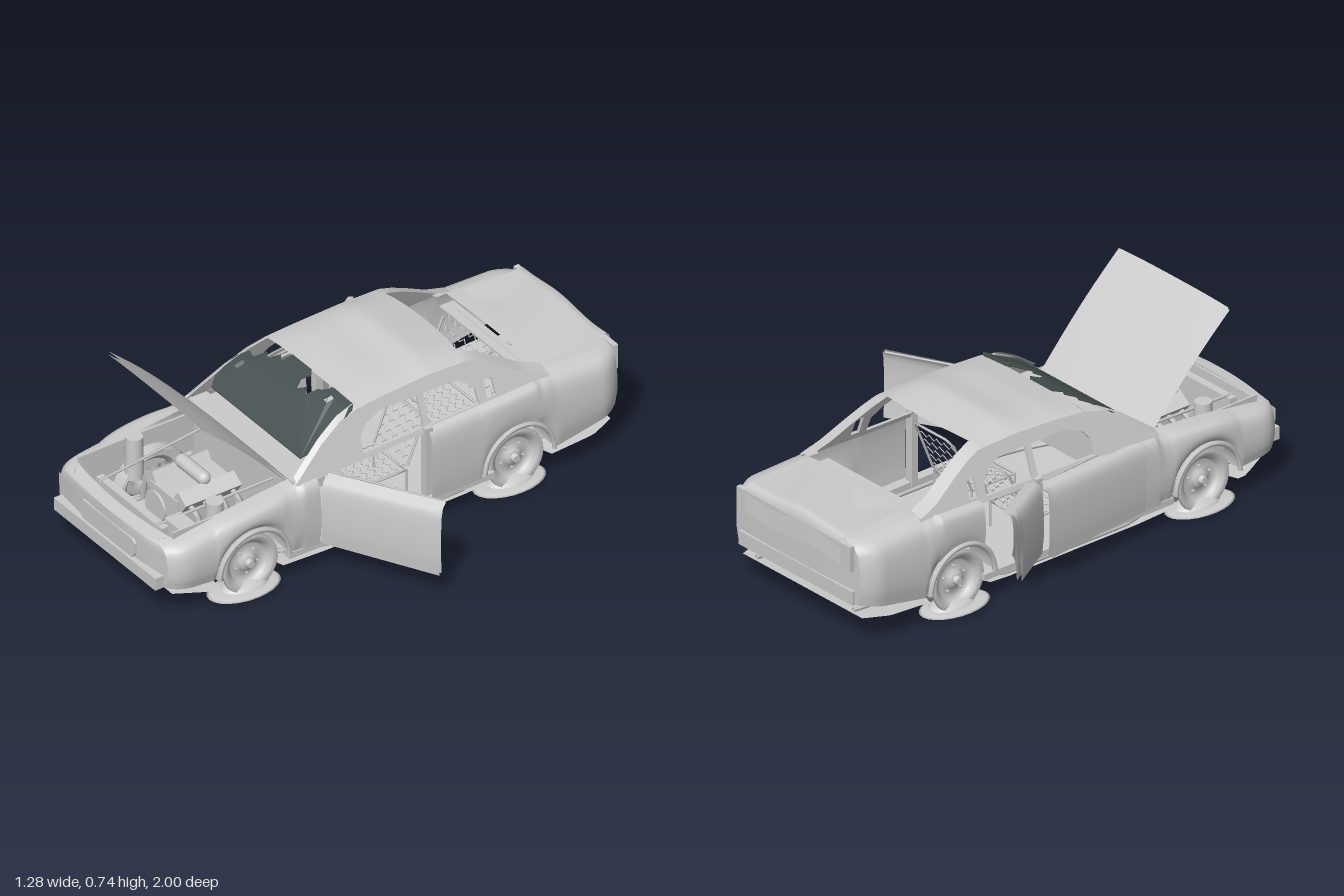
import * as THREE from 'three';

const grey = new THREE.MeshStandardMaterial({ color: 0xcccccc, side: THREE.DoubleSide });
grey.name = 'bare grey metal';
const glass = new THREE.MeshStandardMaterial({ color: 0x465050, side: THREE.DoubleSide });
glass.name = 'dark glass';

// Piecewise linear lookup in [position, value] pairs, positions descending
function look(table, z) {
  if (z >= table[0][0]) return table[0][1];
  for (let i = 1; i < table.length; i++) {
    const [a, va] = table[i - 1], [b, vb] = table[i];
    if (z >= b) return va + (vb - va) * (a - z) / (a - b);
  }
  return table[table.length - 1][1];
}

const AXLES = [0.615, -0.525], HUB = 0.123, ARCH = 0.155;
const BELT = [[0.98, 0.305], [0.7, 0.345], [0.4, 0.375], [0, 0.388], [-0.4, 0.402], [-0.7, 0.415], [-0.97, 0.405]];
const SILL = [[0.96, 0.14], [0.78, 0.125], [0.45, 0.11], [-0.65, 0.11], [-0.97, 0.17]];
const ROOF = [[0.115, 0.56], [0, 0.577], [-0.1, 0.583], [-0.21, 0.6], [-0.38, 0.577]];
const EDGE = [[0.42, 0.372], [0.28, 0.475], [0.19, 0.525], [0.115, 0.545], [0, 0.555], [-0.2, 0.565], [-0.37, 0.56], [-0.43, 0.537], [-0.5, 0.5], [-0.6, 0.442], [-0.68, 0.414]];
const FLOOR = [[0.92, 0.09], [0.3, 0.066], [-0.3, 0.07], [-0.95, 0.112]];
const belt = z => look(BELT, z), edge = z => look(EDGE, z);
const halfWidth = z => 0.372 - 0.042 * Math.max(0, (z - 0.85) / 0.11) ** 3 - 0.04 * Math.max(0, (-0.88 - z) / 0.09) ** 2;
const pillarX = y => 0.335 - (y - 0.385) * 0.36;
const RISE = [[1, 1], [0.8, 0.95], [0.6, 0.82], [0.4, 0.55], [0.2, 0.25], [0, 0]];
const INSET = [[1, 1], [0.8, 0.4], [0.6, 0.12], [0.4, 0], [0.2, 0], [0, 0.15]];

function bottom(z) {
  let y = look(SILL, z);
  for (const c of AXLES) {
    const d = Math.abs(z - c);
    if (d < ARCH) y = Math.max(y, HUB + Math.sqrt(ARCH * ARCH - d * d));
  }
  return y;
}
const insetAt = (z, t) => look(INSET, t) * (z < 0.4 && z > -0.62 ? 0.04 : 0.085);

function add(parent, name, geometry, x = 0, y = 0, z = 0, material = grey) {
  const m = new THREE.Mesh(geometry, material);
  m.name = name;
  m.position.set(x, y, z);
  parent.add(m);
  return m;
}
const box = (w, h, d) => new THREE.BoxGeometry(w, h, d);

// Sheet whose points follow fn(u, v), u and v from 0 to 1
function sheet(nu, nv, fn) {
  const g = new THREE.PlaneGeometry(1, 1, nu, nv), p = g.attributes.position;
  for (let i = 0; i < p.count; i++) p.setXYZ(i, ...fn(p.getX(i) + 0.5, p.getY(i) + 0.5));
  g.computeVertexNormals();
  return g;
}
function rod(parent, name, pts, r = 0.006, closed = false) {
  const path = new THREE.CurvePath();
  const v = pts.map(p => new THREE.Vector3(...p));
  if (closed) v.push(v[0]);
  for (let i = 1; i < v.length; i++) path.add(new THREE.LineCurve3(v[i - 1], v[i]));
  return add(parent, name, new THREE.TubeGeometry(path, (v.length - 1) * 4, r, 5));
}
const sidePanel = (s, z0, z1) => sheet(Math.ceil(Math.abs(z0 - z1) * 75), 10, (u, v) => {
  const z = z0 + (z1 - z0) * u, b = bottom(z);
  return [s * (halfWidth(z) - insetAt(z, v)), b + (belt(z) - b) * look(RISE, v), z];
});

// Double skinned door swung about its front edge
function door(car, name, s, z0, z1, angle) {
  const pivot = new THREE.Group();
  pivot.name = name;
  pivot.position.set(s * 0.372, 0, z0);
  pivot.rotation.y = angle;
  car.add(pivot);
  add(pivot, 'doorSkin', sidePanel(s, z0, z1), -s * 0.372, 0, -z0);
  add(pivot, 'doorLining', sidePanel(s, z0, z1), -s * 0.39, 0, -z0);
  rod(pivot, 'windowTrim', [[-s * 0.06, 0.385, -0.02], [-s * 0.06, 0.392, z1 - z0 + 0.02]], 0.004);
}

// Bare seat with zigzag springs
function seat(car, name, x, z, w, d, h) {
  const g = new THREE.Group();
  g.name = name;
  g.position.set(x, 0.18, z);
  car.add(g);
  const place = (u, v, back) => back ? [u * w, v * h, -d - v * 0.09] : [u * w, 0, -v * d];
  for (const back of [false, true]) {
    rod(g, 'seatFrame', [[-0.5, 0], [0.5, 0], [0.5, 1], [-0.5, 1]].map(([u, v]) => place(u, v, back)), 0.005, true);
    for (let k = 1; k < 6; k++) {
      const pts = [], n = Math.round(w / 0.02);
      for (let i = 0; i <= n; i++) pts.push(place(i / n - 0.5, k / 6 + (i % 2 ? 0.045 : -0.045), back));
      rod(g, 'seatSpring', pts, 0.002);
    }
  }
  for (const u of [-0.5, 0.5]) for (const v of [0, -d]) rod(g, 'seatLeg', [[u * w, 0, v], [u * w, -0.1, v]], 0.005);
}

function wheel(car, s, z) {
  const g = new THREE.Group();
  g.name = 'wheel';
  g.position.set(s * 0.3, HUB, z);
  g.rotation.z = -s * Math.PI / 2;
  car.add(g);
  const profile = [[0.008, 0.035], [0.03, 0.035], [0.034, 0.02], [0.07, 0.015], [0.08, 0.03], [0.095, 0.045], [0.115, 0.05], [0.118, 0.04], [0.1, 0.025], [0.1, -0.03], [0.118, -0.045]];
  add(g, 'rim', new THREE.LatheGeometry(profile.map(p => new THREE.Vector2(...p)), 32));
  add(g, 'hubCap', new THREE.CylinderGeometry(0.014, 0.018, 0.02, 16), 0, 0.042, 0);
  for (let i = 0; i < 5; i++) {
    const a = i * Math.PI * 0.4;
    add(g, 'wheelNut', new THREE.CylinderGeometry(0.005, 0.005, 0.012, 6), Math.cos(a) * 0.05, 0.022, Math.sin(a) * 0.05);
  }
  // Collapsed tyre on the ground
  const pad = add(car, 'flatTyre', new THREE.SphereGeometry(1, 24, 8), s * 0.315, 0.014, z + 0.008);
  pad.scale.set(0.088, 0.011, 0.148);
  const wall = add(car, 'tyreWall', new THREE.SphereGeometry(1, 24, 8, 0, Math.PI * 2, 0, Math.PI / 2), s * 0.31, 0.014, z);
  wall.scale.set(0.062, 0.032, 0.1);
}

export function createModel() {
  const root = new THREE.Group(), car = new THREE.Group();
  root.name = 'wreckedCar';
  car.name = 'car';
  car.position.x = -0.135;
  root.add(car);

  // Fenders, quarters, arches, inner wells and pillars, both sides
  for (const s of [-1, 1]) {
    add(car, 'frontFender', sidePanel(s, 0.96, 0.33));
    add(car, 'rearQuarter', sidePanel(s, s > 0 ? -0.15 : -0.42, -0.97));
    add(car, 'sill', box(0.04, 0.025, 0.88), s * 0.345, 0.105, 0.02);
    add(car, 'centrePillar', box(0.03, 0.3, 0.03), s * 0.335, 0.25, -0.15);
    add(car, 'bayWall', box(0.008, 0.16, 0.5), s * 0.288, 0.26, 0.66);
    for (const z of AXLES) {
      wheel(car, s, z);
      const well = add(car, 'wheelWell', new THREE.CylinderGeometry(ARCH, ARCH, 0.14, 20, 1, true, 0, Math.PI), s * 0.3, HUB, z);
      well.rotation.z = Math.PI / 2;
      const lip = add(car, 'archLip', new THREE.TorusGeometry(ARCH - 0.006, 0.01, 6, 24, Math.PI), s * 0.37, HUB, z);
      lip.rotation.y = Math.PI / 2;
    }
    // Window frame with three openings
    const frame = new THREE.Shape(EDGE.map(([z, y]) => new THREE.Vector2(z, y)).concat(
      [new THREE.Vector2(-0.68, 0.4), new THREE.Vector2(-0.4, 0.385), new THREE.Vector2(0.38, 0.365)]));
    const windows = [
      [[0.12, 0.392], [-0.14, 0.397], [-0.14, 0.512], [0.02, 0.512], [0.09, 0.485], [0.12, 0.45]],
      [[-0.165, 0.398], [-0.38, 0.403], [-0.375, 0.46], [-0.33, 0.498], [-0.29, 0.512], [-0.165, 0.512]],
      [[-0.415, 0.41], [-0.455, 0.412], [-0.45, 0.475], [-0.415, 0.48]]];
    for (const w of windows) frame.holes.push(new THREE.Path(w.map(p => new THREE.Vector2(...p))));
    const g = new THREE.ExtrudeGeometry(frame, { depth: 0.012, bevelEnabled: false }), p = g.attributes.position;
    for (let i = 0; i < p.count; i++) {
      const z = p.getX(i), y = p.getY(i);
      p.setXYZ(i, s * (pillarX(y) - p.getZ(i)), y, z);
    }
    g.computeVertexNormals();
    add(car, 'windowFrame', g);
    for (const [name, z0, z1, w] of [['windscreenPillar', 0.41, 0.115, 0.022], ['rearPillar', -0.34, -0.68, 0.055]]) {
      add(car, name, sheet(2, 12, (u, v) => {
        const z = z0 + (z1 - z0) * v, y = edge(z);
        return [s * (pillarX(y) - u * w), y + 0.014 * u, z];
      }));
    }
    // Headlamp lenses wrapped onto the nose
    for (const [name, x0, x1] of [['innerLens', 0.19, 0.245], ['outerLens', 0.253, 0.325]]) {
      add(car, name, sheet(4, 1, (u, v) => {
        const x = x0 + (x1 - x0) * u;
        return [s * x, 0.23 + 0.05 * v, 0.966 + 0.025 * (1 - (x / 0.33) ** 2)];
      }));
    }
    add(car, 'strutTower', new THREE.CylinderGeometry(0.032, 0.036, 0.17, 18), s * 0.245, 0.285, 0.7);
    add(car, 'bumperBracket', box(0.02, 0.05, 0.05), s * 0.22, 0.125, 0.93);
    // Bent rail beneath the side
    rod(car, 'floorRail', [[0.25, 0.9], [0.26, 0.5], [0.34, 0.3], [0.34, -0.3], [0.26, -0.45], [0.26, -0.94]].map(([x, z]) => [s * x, look(FLOOR, z) + 0.006, z]), 0.009);
  }

  // Doors
  door(car, 'wideOpenDoor', 1, 0.33, -0.13, -1.07);
  door(car, 'ajarFrontDoor', -1, 0.33, -0.15, 0.1);
  door(car, 'ajarRearDoor', -1, -0.15, -0.42, 0.52);

  // Nose and tail
  for (const [name, z, bulge] of [['nose', 0.96, 0.025], ['tail', -0.97, -0.008]]) {
    add(car, name, sheet(16, 10, (u, v) => {
      const k = u * 2 - 1, b = bottom(z);
      return [k * (halfWidth(z) - 0.085 * look(INSET, v)), b + (belt(z) - b) * look(RISE, v), z + bulge * (1 - k * k)];
    }));
  }
  add(car, 'noseTop', sheet(12, 2, (u, v) => {
    const k = u * 2 - 1;
    return [k * (0.245 + 0.04 * v), belt(0.96 - v * 0.05), 0.96 + 0.025 * (1 - k * k) - 0.05 * v];
  }));
  // Grille panel with rounded corners
  const grille = new THREE.Shape([[-0.15, -0.04], [0.15, -0.04], [0.167, -0.02], [0.167, 0.025], [0.15, 0.038], [-0.15, 0.038], [-0.167, 0.025], [-0.167, -0.02]].map(p => new THREE.Vector2(...p)));
  add(car, 'grille', new THREE.ExtrudeGeometry(grille, { depth: 0.012, bevelEnabled: false }), 0, 0.23, 0.977);
  add(car, 'frontBumper', box(0.62, 0.05, 0.035), 0, 0.165, 0.982);
  add(car, 'rearBumper', box(0.61, 0.055, 0.03), 0, 0.195, -0.968);
  add(car, 'rearLightPanel', box(0.61, 0.1, 0.02), 0, 0.352, -0.983);

  // Raised double skinned hood, cowl and firewall
  for (const [name, off] of [['hoodSkin', 0], ['hoodLining', 0.01]]) {
    add(car, name, sheet(14, 12, (u, v) => {
      const b = 0.02 * Math.sin(v * Math.PI) + 0.005 - off;
      return [(u - 0.5) * 0.59, 0.37 + 0.365 * v + b - 0.006 * Math.abs(2 * u - 1) ** 3, 0.41 + 0.365 * v + 0.3 * b + off * 0.7];
    }));
  }
  add(car, 'cowl', box(0.64, 0.012, 0.08), 0, 0.37, 0.375);
  add(car, 'firewall', box(0.6, 0.27, 0.01), 0, 0.235, 0.41);
  add(car, 'dashboard', box(0.62, 0.06, 0.06), 0, 0.335, 0.3);

  // Dented roof
  add(car, 'roof', sheet(20, 20, (u, v) => {
    const k = u * 2 - 1, z = 0.115 - v * (0.495 - 0.025 * k * k), e = edge(z);
    return [k * pillarX(e), e + (look(ROOF, z) - e) * (1 - k ** 4), z];
  }));

  // Shattered windscreen: torn upper corner, notch and two holes
  const pane = new THREE.Shape([[-0.92, 0.13], [0.92, 0.13], [1, 0.25], [1, 0.93], [0.93, 1], [0.5, 1], [0.44, 0.9], [0.36, 0.84], [0.3, 0.7], [0.22, 0.78], [0.12, 0.68], [0.04, 0.82], [0.1, 0.93], [0.02, 1], [-0.4, 1], [-0.42, 0.84], [-0.52, 0.9], [-0.6, 0.76], [-0.7, 0.82], [-0.78, 0.66], [-0.9, 0.7], [-1, 0.55], [-1, 0.25]].map(p => new THREE.Vector2(...p)));
  for (const [x, y] of [[0.6, 0.84], [-0.85, 0.5]]) {
    pane.holes.push(new THREE.Path([[-0.05, -0.05], [0.04, -0.06], [0.06, 0.05], [-0.02, 0.07]].map(([a, b]) => new THREE.Vector2(x + a, y + b))));
  }
  const paneGeo = new THREE.ExtrudeGeometry(pane, { depth: 0.004, bevelEnabled: false }), pp = paneGeo.attributes.position;
  for (let i = 0; i < pp.count; i++) {
    const k = pp.getX(i), t = pp.getY(i), z = 0.385 - 0.272 * t, y = 0.39 + 0.163 * t + 0.1 * t * (1 - t);
    pp.setXYZ(i, k * (0.298 - 0.02 * t), y + pp.getZ(i) + 0.006 * (1 - k * k), z);
  }
  paneGeo.computeVertexNormals();
  add(car, 'windscreen', paneGeo, 0, 0, 0, glass);

  // Rear deck and buckled lid
  add(car, 'rearDeck', sheet(10, 10, (u, v) => {
    const k = u * 2 - 1, z = -0.67 - v * 0.3;
    return [k * (halfWidth(z) - 0.083), belt(z) + 0.01 * (1 - k * k), z];
  }));
  add(car, 'bootLid', sheet(12, 14, (u, v) => {
    const k = u * 2 - 1, fold = Math.max(0, v - 0.75) / 0.25;
    return [k * 0.255, 0.425 + 0.008 * Math.sin(k * 4 + v * 3) + 0.008 * v - fold * 0.11, -0.72 - 0.27 * Math.min(1, v / 0.75) - 0.008 * fold];
  }));

  // Sagging floor, narrowed beside the wheels
  add(car, 'floor', sheet(4, 60, (u, v) => {
    const z = 0.92 - v * 1.87;
    let w = 0.36 - Math.max(0, z - 0.8) * 0.5 - Math.max(0, -0.85 - z) * 0.4;
    if (AXLES.some(c => Math.abs(z - c) < 0.12)) w = 0.27;
    return [(u * 2 - 1) * w, look(FLOOR, z), z];
  }));

  // Seats, steering wheel and parcel shelf
  seat(car, 'rearSeat', 0, -0.36, 0.5, 0.2, 0.22);
  for (const s of [-1, 1]) seat(car, 'frontSeat', s * 0.15, 0.08, 0.2, 0.2, 0.22);
  const steering = add(car, 'steeringWheel', new THREE.TorusGeometry(0.055, 0.005, 6, 24), 0.15, 0.34, 0.2);
  steering.rotation.x = 0.4;
  rod(car, 'steeringColumn', [[0.15, 0.34, 0.2], [0.15, 0.27, 0.4]]);
  add(car, 'parcelShelf', box(0.5, 0.008, 0.06), 0, 0.4, -0.645);

  // Engine
  add(car, 'engineBlock', box(0.17, 0.14, 0.25), 0, 0.22, 0.62);
  const cover = add(car, 'airFilter', new THREE.CapsuleGeometry(0.026, 0.13, 6, 14), 0, 0.335, 0.62);
  cover.rotation.z = Math.PI / 2;
  for (const s of [-1, 1]) {
    const head = add(car, 'valveCover', box(0.06, 0.05, 0.24), s * 0.09, 0.29, 0.62);
    head.rotation.z = -s * 0.6;
    for (let i = 0; i < 4; i++) {
      const z = 0.53 + i * 0.06;
      rod(car, 'exhaustPipe', [[s * 0.1, 0.28, z], [s * 0.16, 0.26, z], [s * 0.18, 0.15, z]], 0.011);
    }
    rod(car, 'bayBrace', [[s * 0.2, 0.33, 0.42], [s * 0.17, 0.3, 0.9]], 0.006);
  }
  add(car, 'radiator', box(0.4, 0.16, 0.03), 0, 0.22, 0.88);
  add(car, 'battery', box(0.1, 0.08, 0.07), 0.21, 0.27, 0.82);
  const fan = add(car, 'fan', new THREE.CylinderGeometry(0.06, 0.06, 0.01, 20), 0, 0.24, 0.78);
  fan.rotation.x = Math.PI / 2;
  return root;
}
